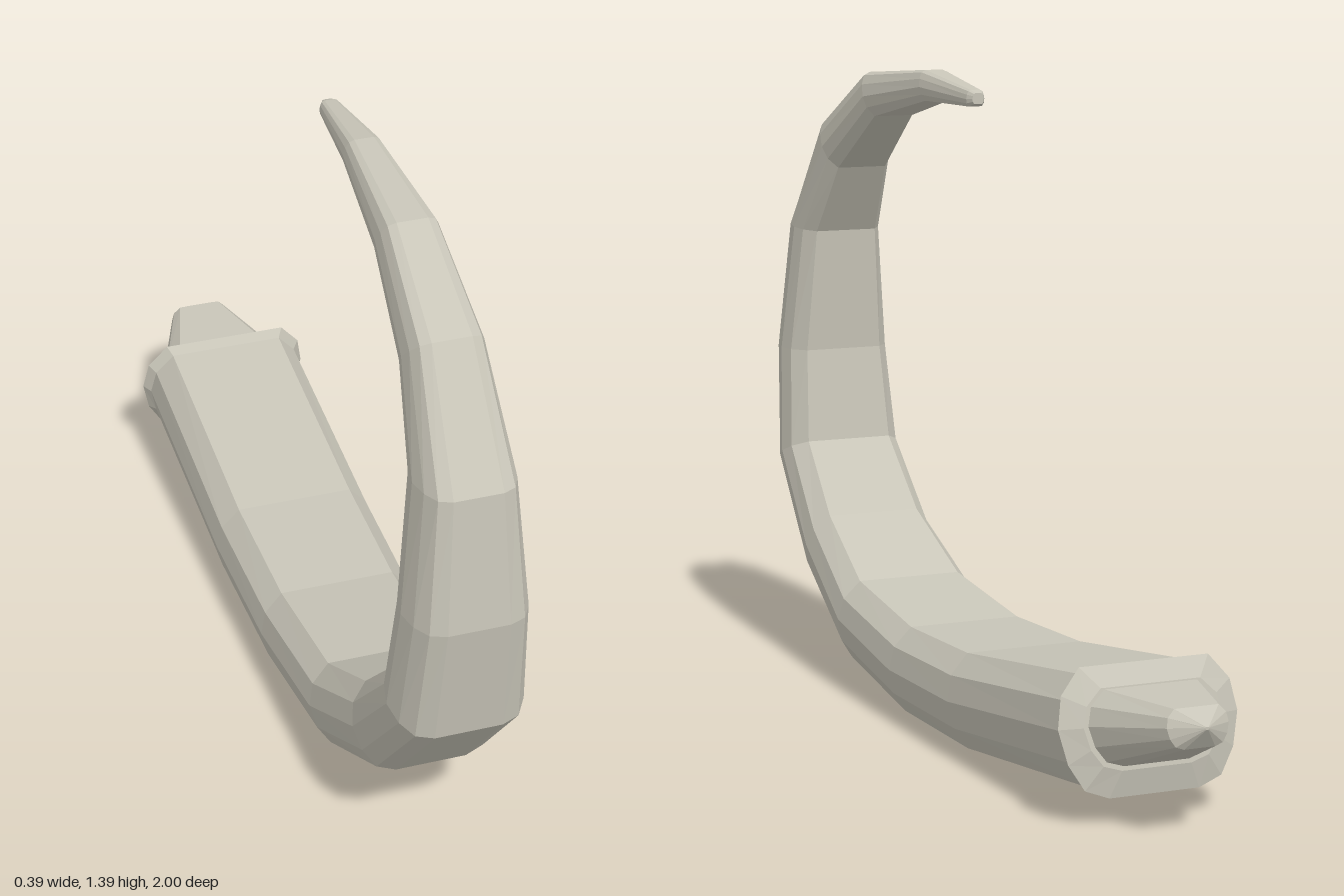
import * as THREE from 'three';

// Half cross-section: [share of half width, share of depth from outer to inner edge]
const HALF = [[0.5, 0], [0.76, 0.075], [0.92, 0.28], [1, 0.55], [0.94, 0.8], [0.72, 1]];
const SECTION = [...HALF, ...HALF.slice().reverse().map(([x, t]) => [-x, t])];

// Skins closed rings, each given as [outer z, outer y, inner z, inner y, half width]
function loft(name, rings, material) {
  const pos = [];
  const loops = rings.map(([oz, oy, iz, iy, w]) =>
    SECTION.map(([x, t]) => [x * w, oy + (iy - oy) * t, oz + (iz - oz) * t]));
  const n = SECTION.length;
  const tri = (a, b, c) => pos.push(...a, ...b, ...c);
  for (let i = 0; i < loops.length - 1; i++) {
    for (let j = 0; j < n; j++) {
      const k = (j + 1) % n;
      const a = loops[i][j], b = loops[i][k], c = loops[i + 1][k], d = loops[i + 1][j];
      tri(a, b, c);
      tri(a, c, d);
    }
  }
  // End caps
  const first = loops[0], last = loops[loops.length - 1];
  for (let j = 1; j < n - 1; j++) {
    tri(first[0], first[j + 1], first[j]);
    tri(last[0], last[j], last[j + 1]);
  }
  const geometry = new THREE.BufferGeometry();
  geometry.setAttribute('position', new THREE.Float32BufferAttribute(pos, 3));
  geometry.computeVertexNormals();
  const mesh = new THREE.Mesh(geometry, material);
  mesh.name = name;
  return mesh;
}

export function createModel() {
  const group = new THREE.Group();
  group.name = 'curvedHook';
  const bone = new THREE.MeshStandardMaterial({ color: 0xc8c5b8 });
  bone.name = 'bone';

  // Tapering hook, from the collar round to the point
  group.add(loft('hook', [
    [-0.77, 0.065, -0.72, 0.295, 0.18],
    [-0.20, 0.005, -0.18, 0.22, 0.18],
    [0.15, 0.005, 0.13, 0.21, 0.175],
    [0.48, 0.055, 0.44, 0.25, 0.166],
    [0.75, 0.20, 0.65, 0.36, 0.15],
    [0.96, 0.445, 0.80, 0.51, 0.14],
    [1.0, 0.72, 0.83, 0.72, 0.126],
    [0.975, 1.01, 0.81, 1.0, 0.10],
    [0.81, 1.255, 0.71, 1.155, 0.08],
    [0.58, 1.38, 0.52, 1.285, 0.063],
    [0.29, 1.4, 0.27, 1.335, 0.04],
    [0.07, 1.37, 0.07, 1.335, 0.021],
    [0.055, 1.364, 0.055, 1.341, 0.013],
  ], bone));

  // Flared collar at the base
  group.add(loft('collar', [
    [-0.795, 0.115, -0.765, 0.275, 0.15],
    [-0.785, 0.06, -0.735, 0.313, 0.195],
    [-0.77, 0.065, -0.72, 0.295, 0.18],
  ], bone));

  // Blunt plug behind the collar
  group.add(loft('plug', [
    [-1.0, 0.237, -1.0, 0.243, 0.004],
    [-0.97, 0.195, -0.955, 0.272, 0.066],
    [-0.79, 0.122, -0.76, 0.272, 0.142],
  ], bone));

  return group;
}
